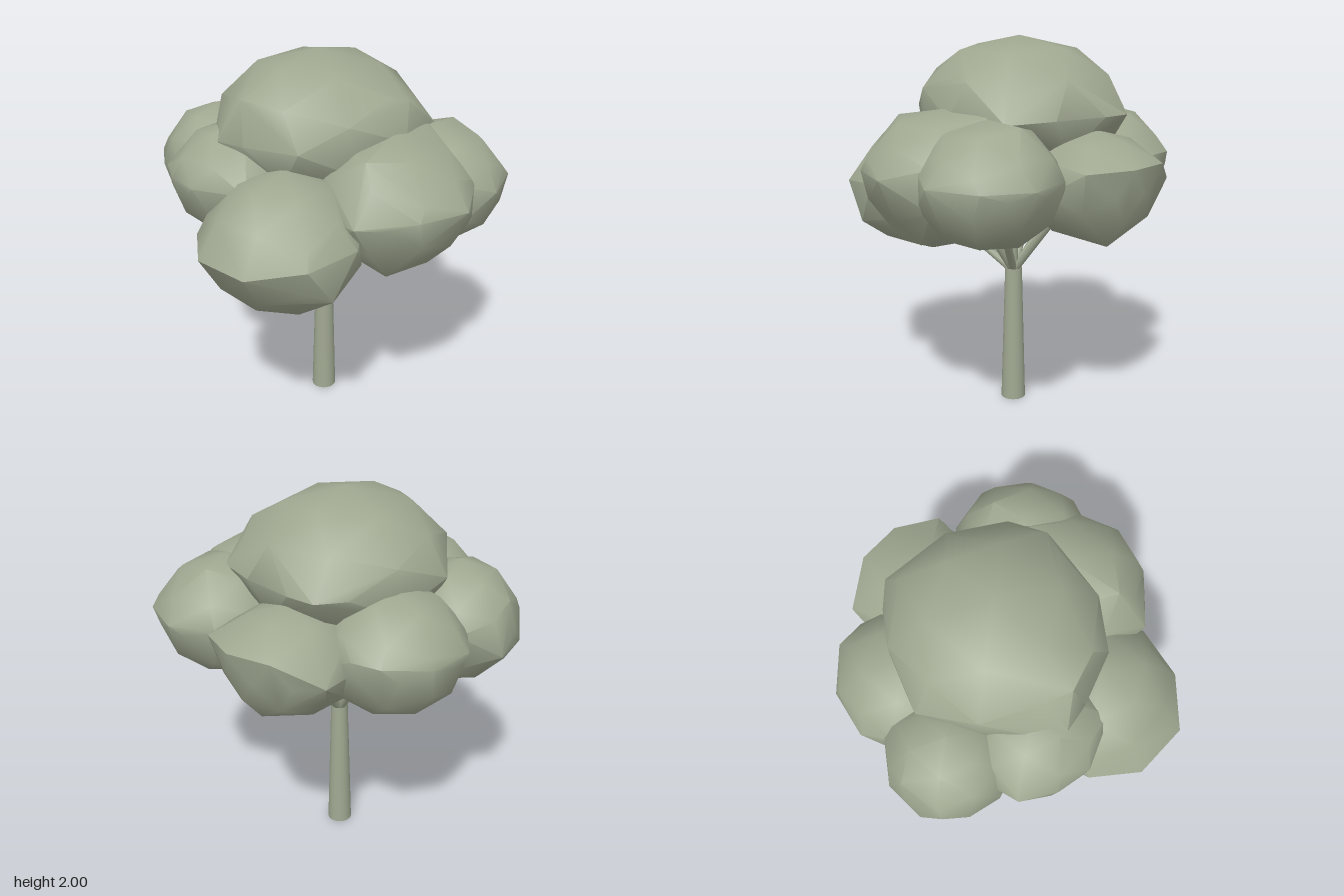
import * as THREE from 'three';
import { toCreasedNormals } from 'three/addons/utils/BufferGeometryUtils.js';
import { ConvexGeometry } from 'three/addons/geometries/ConvexGeometry.js';

const sage = new THREE.MeshStandardMaterial({ color: 0xa0a891, side: THREE.DoubleSide });
sage.name = 'sage green';

// Convex leaf clump: a round core pulled out to a few angular corners
function clump(name, center, radii, corners) {
  const core = new THREE.IcosahedronGeometry(1, 1);
  core.scale(...radii);
  core.translate(...center);
  const p = core.attributes.position;
  const points = corners.map((c) => new THREE.Vector3(...c));
  const seen = new Set();
  for (let i = 0; i < p.count; i++) {
    const v = new THREE.Vector3().fromBufferAttribute(p, i);
    const key = v.toArray().map((n) => n.toFixed(3)).join();
    if (!seen.has(key)) points.push(v);
    seen.add(key);
  }
  const mesh = new THREE.Mesh(toCreasedNormals(new ConvexGeometry(points), 0.72), sage);
  mesh.name = name;
  return mesh;
}

// Tapered round limb between two points
function limb(name, from, to, r0, r1, sides) {
  const a = new THREE.Vector3(...from);
  const b = new THREE.Vector3(...to);
  const dir = b.clone().sub(a);
  const mesh = new THREE.Mesh(new THREE.CylinderGeometry(r1, r0, dir.length(), sides, 1, true), sage);
  mesh.position.copy(a).addScaledVector(dir, 0.5);
  mesh.quaternion.setFromUnitVectors(new THREE.Vector3(0, 1, 0), dir.normalize());
  mesh.name = name;
  return mesh;
}

export function createModel() {
  const tree = new THREE.Group();
  tree.name = 'tree';

  // Trunk and the short stub above it
  tree.add(limb('trunk', [0.05, 0, -0.01], [0.05, 0.76, -0.01], 0.067, 0.046, 20));
  tree.add(limb('stub', [0.05, 0.74, -0.01], [0.075, 0.97, 0.01], 0.025, 0.018, 10));

  // One branch from the trunk top into each clump
  const branches = new THREE.Group();
  branches.name = 'branches';
  const tips = [
    [-0.45, 1.12, 0.17], [0, 1.45, 0.47], [0.34, 1.4, 0.48], [0.53, 1.33, -0.02],
    [0.28, 1.42, -0.43], [-0.13, 1.44, -0.5], [-0.3, 1.42, -0.24], [0.05, 1.6, -0.05],
  ];
  for (const tip of tips) branches.add(limb('branch', [0.05, 0.74, -0.01], tip, 0.022, 0.018, 8));

  const leaves = new THREE.Group();
  leaves.name = 'leaves';

  // Broad crown on top
  leaves.add(clump('crownClump', [0.05, 1.63, -0.05], [0.56, 0.37, 0.52], [
    [-0.53, 1.63, -0.2], [0.05, 1.63, -0.6], [0.63, 1.63, -0.2], [0.07, 1.62, 0.49],
    [0.4, 1.62, 0.44], [-0.46, 1.84, -0.1], [0.15, 1.8, 0.44],
  ]));

  // Ring of lower clumps
  leaves.add(clump('rightClump', [-0.45, 1.185, 0.15], [0.4, 0.36, 0.4], [
    [-0.89, 1.19, 0.3], [-0.88, 1.19, 0], [-0.42, 0.812, 0.15], [-0.22, 0.87, 0.08],
    [-0.55, 1.02, 0.54], [-0.42, 1.25, 0.58], [-0.69, 1.22, 0.51], [-0.7, 1.2, -0.2],
  ]));
  leaves.add(clump('frontClump', [0.03, 1.345, 0.45], [0.44, 0.325, 0.41], [
    [-0.43, 1.35, 0.56], [0.02, 1.38, 0.89], [-0.23, 1.38, 0.79], [-0.22, 1.04, 0.6],
    [0.05, 1.03, 0.66], [-0.27, 1.62, 0.5], [0.3, 1.65, 0.46],
  ]));
  leaves.add(clump('frontLeftClump', [0.34, 1.34, 0.49], [0.36, 0.31, 0.36], [
    [0.71, 1.38, 0.58], [0.57, 1.38, 0.79], [0.31, 1.38, 0.87], [0.67, 1.38, 0.33],
    [0.52, 1.63, 0.47],
  ]));
  leaves.add(clump('leftClump', [0.55, 1.295, -0.025], [0.33, 0.275, 0.35], [
    [0.89, 1.43, -0.13], [0.89, 1.43, 0.1], [0.88, 1.3, 0], [0.78, 1.31, -0.35],
    [0.76, 1.42, 0.3], [0.71, 1.02, 0.05],
  ]));
  leaves.add(clump('backLeftClump', [0.28, 1.32, -0.43], [0.37, 0.32, 0.37], [
    [0.25, 1.37, -0.81], [0.49, 1.37, -0.74], [0.65, 1.4, -0.55], [0.65, 1.4, -0.4],
  ]));
  leaves.add(clump('backClump', [-0.14, 1.34, -0.59], [0.32, 0.32, 0.31], [
    [-0.22, 1.25, -0.9], [0, 1.25, -0.89], [-0.1, 1.51, -0.87], [-0.33, 1.38, -0.85],
    [0.18, 1.4, -0.72],
  ]));
  leaves.add(clump('backRightClump', [-0.36, 1.39, -0.25], [0.33, 0.29, 0.34], [
    [-0.7, 1.43, -0.22], [-0.66, 1.43, -0.4], [-0.55, 1.43, -0.56], [-0.6, 1.43, 0.05],
    [-0.52, 1.65, -0.25],
  ]));

  tree.add(branches, leaves);
  return tree;
}
